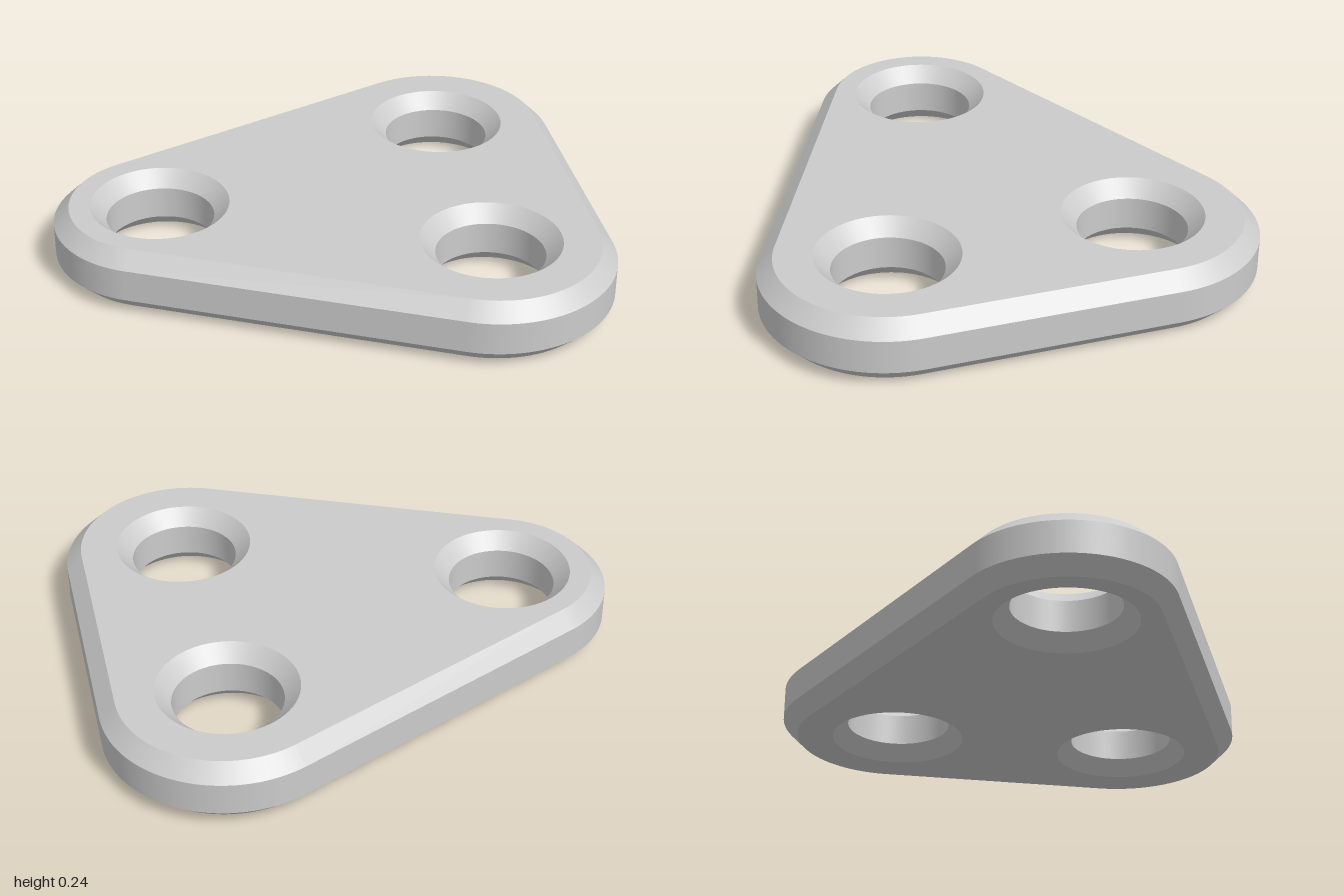
import * as THREE from 'three';

const H = 0.24, C = 0.058; // thickness and chamfer
const SLOPE = THREE.MathUtils.degToRad(24.4); // angle of the slanted sides
const LEAN = Math.PI / 2 + SLOPE, TAU = Math.PI * 2;
const CENTRES = [[0.545, 0.455], [-0.605, 0], [0.545, -0.455]];

// Sample of an arc: centre, radius and outward direction
function arc([x, z], r, from, to, n) {
  return Array.from({ length: n + 1 }, (_, i) => {
    const t = from + (to - from) * i / n;
    return { x, z, r, nx: Math.cos(t), nz: Math.sin(t) };
  });
}

// Points of a loop, grown by d
const ring = (loop, d) => loop.map(p => [p.x + p.nx * (p.r + d), p.z + p.nz * (p.r + d)]);

// Sweep a [offset, height] profile round a loop; side -1 makes it face inwards
function wall(loop, profile, side) {
  const pos = [], nor = [], idx = [];
  for (let k = 0; k < profile.length - 1; k++) {
    const [d0, y0] = profile[k], [d1, y1] = profile[k + 1];
    const len = Math.hypot(d1 - d0, y1 - y0) * side;
    const out = (y1 - y0) / len, up = (d0 - d1) / len;
    const low = ring(loop, d0), high = ring(loop, d1), base = pos.length / 3;
    loop.forEach((p, i) => {
      pos.push(low[i][0], y0, low[i][1], high[i][0], y1, high[i][1]);
      for (let j = 0; j < 2; j++) nor.push(p.nx * out, up, p.nz * out);
      if (i === loop.length - 1) return;
      const a = base + i * 2;
      if (side > 0) idx.push(a, a + 1, a + 2, a + 2, a + 1, a + 3);
      else idx.push(a, a + 2, a + 1, a + 2, a + 3, a + 1);
    });
  }
  const geo = new THREE.BufferGeometry();
  geo.setAttribute('position', new THREE.Float32BufferAttribute(pos, 3));
  geo.setAttribute('normal', new THREE.Float32BufferAttribute(nor, 3));
  geo.setIndex(idx);
  return geo;
}

export function createModel() {
  const group = new THREE.Group();
  group.name = 'threeHolePlate';
  const material = new THREE.MeshStandardMaterial({ color: 0xcccccc });
  const add = (name, geo) => {
    const mesh = new THREE.Mesh(geo, material);
    mesh.name = name;
    group.add(mesh);
    return mesh;
  };

  // Rounded triangular outline
  const outline = [
    ...arc(CENTRES[0], 0.455, 0, LEAN, 32),
    ...arc(CENTRES[1], 0.395, LEAN, TAU - LEAN, 32),
    ...arc(CENTRES[2], 0.455, TAU - LEAN, TAU, 32),
  ];
  outline.push(outline[0]);
  const holes = CENTRES.map(c => arc(c, 0.2, 0, TAU, 64));

  // Chamfered rim and countersunk holes
  add('outerRim', wall(outline, [[-C, 0], [0, C], [0, H - C], [-C, H]], 1));
  holes.forEach((hole, i) =>
    add(`countersunkHole${i + 1}`, wall(hole, [[C, 0], [0, C], [0, H - C], [C, H]], -1)));

  // Flat faces pierced by the holes
  const points = (loop, d) => ring(loop, d).slice(0, -1).map(([x, z]) => new THREE.Vector2(x, -z));
  const shape = new THREE.Shape(points(outline, -C));
  shape.holes = holes.map(hole => new THREE.Path(points(hole, C)));
  const face = new THREE.ShapeGeometry(shape);
  add('topFace', face.clone().rotateX(-Math.PI / 2).translate(0, H, 0));
  add('bottomFace', face.clone().rotateX(Math.PI / 2));

  return group;
}
